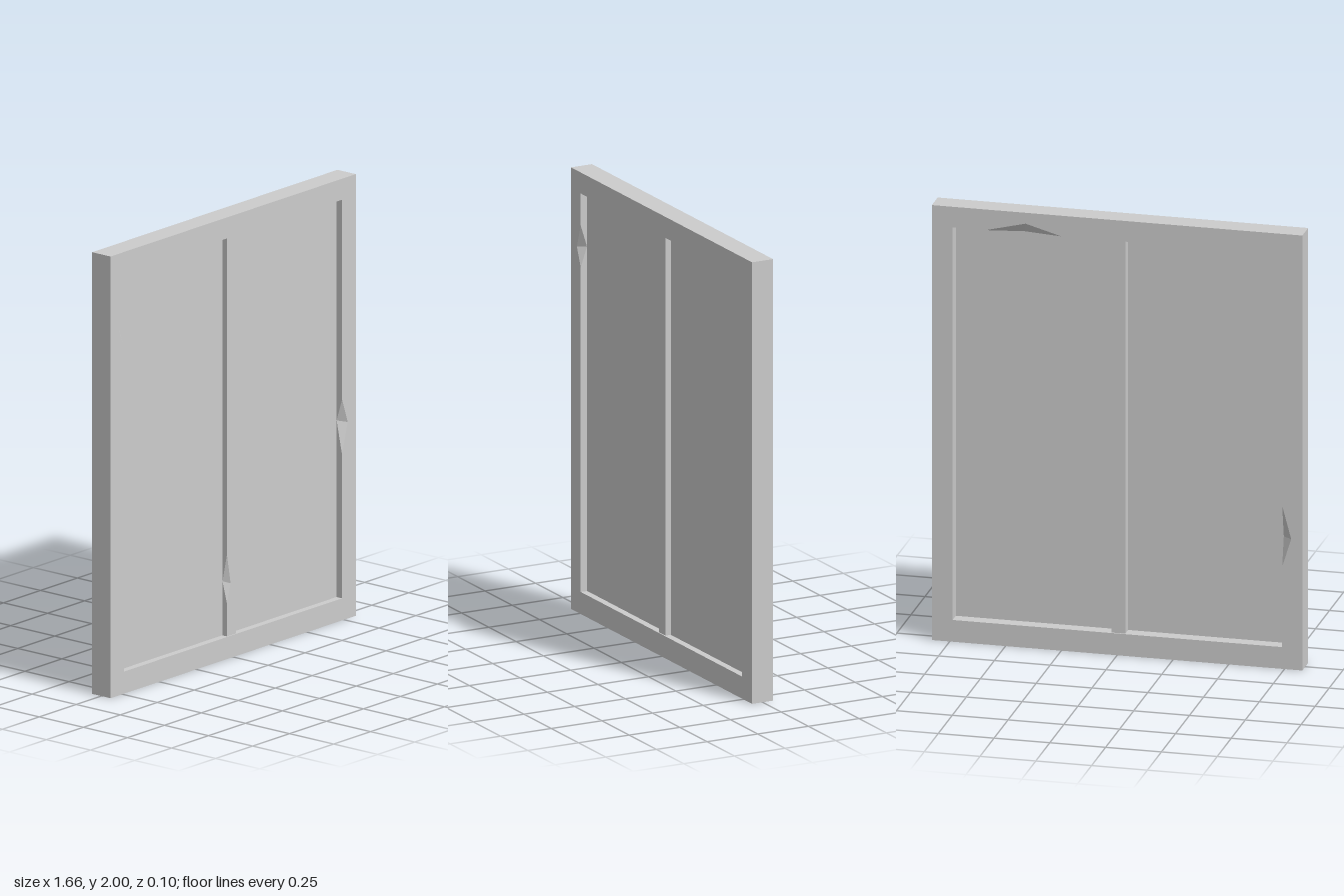
import * as THREE from 'three';

const material = new THREE.MeshStandardMaterial({ color: 0xcccccc, flatShading: true });

// A slab with chipped edges: outer runs counter-clockwise, holes clockwise.
// A point [x, y, dx, dy] is a chip: its face corner is (x, y), its inner corner (dx, dy).
function chippedSlab(outer, holes, zFace, zInner) {
  const all = [outer, ...holes].flat();
  const v2 = (c) => c.map((p) => new THREE.Vector2(p[0], p[1]));
  const face = (p) => [p[0], p[1], zFace];
  const inner = (p) => [p[2] ?? p[0], p[3] ?? p[1], zInner];
  const pos = [];
  const tri = (a, b, c) => pos.push(...a, ...(zFace > zInner ? [...b, ...c] : [...c, ...b]));

  for (const [a, b, c] of THREE.ShapeUtils.triangulateShape(v2(outer), holes.map(v2))) {
    tri(face(all[a]), face(all[b]), face(all[c]));
  }
  for (const contour of [outer, ...holes]) {
    contour.forEach((p, i) => {
      const q = contour[(i + 1) % contour.length];
      if (p.length > 2) {
        tri(face(p), inner(p), face(q));
        tri(inner(p), inner(q), face(q));
      } else {
        tri(face(p), inner(p), inner(q));
        tri(face(p), inner(q), face(q));
      }
    });
  }
  const geometry = new THREE.BufferGeometry();
  geometry.setAttribute('position', new THREE.Float32BufferAttribute(pos, 3));
  geometry.computeVertexNormals();
  return geometry;
}

function add(parent, name, geometry) {
  const mesh = new THREE.Mesh(geometry, material);
  mesh.name = name;
  parent.add(mesh);
  return mesh;
}

function addBox(parent, name, x0, x1, y0, y1, z0, z1) {
  const mesh = add(parent, name, new THREE.BoxGeometry(x1 - x0, y1 - y0, z1 - z0));
  mesh.position.set((x0 + x1) / 2, (y0 + y1) / 2, (z0 + z1) / 2);
}

export function createModel() {
  const model = new THREE.Group();
  model.name = 'window';

  const W = 0.83, H = 2, Z = 0.052;
  const L = -0.74, R = 0.737, B = 0.1, T = 1.905; // opening
  const zFront = 0.021, zBack = -0.024;           // depth the chips reach
  const outer = [[-W, 0], [W, 0], [W, H], [-W, H]];
  const opening = [[L, B], [L, T], [R, T], [R, B]];

  // Frame: chipped front and back layers around a plain core
  const frame = new THREE.Group();
  frame.name = 'frame';
  model.add(frame);

  const frontOpening = [
    [L, B], [L, 1.57], [-0.775, 1.655, L, 1.66], [L, 1.76], [L, T],
    [R, T], [R, 1.0], [0.775, 0.89, R, 0.9], [R, 0.75], [R, B],
  ];
  const backOpening = [
    [L, B], [L, 0.47], [-0.78, 0.6, L, 0.6], [L, 0.75], [L, T],
    [0.25, T], [0.41, 1.95, 0.42, T], [0.59, T], [R, T], [R, B],
  ];
  add(frame, 'frameFront', chippedSlab(outer, [frontOpening], Z, zFront));
  add(frame, 'frameBack', chippedSlab(outer, [backOpening], -Z, zBack));

  const coreShape = new THREE.Shape(outer.map((p) => new THREE.Vector2(...p)));
  coreShape.holes.push(new THREE.Path(opening.map((p) => new THREE.Vector2(...p))));
  const core = new THREE.ExtrudeGeometry(coreShape, { depth: zFront - zBack, bevelEnabled: false });
  add(frame, 'frameCore', core.translate(0, 0, zBack));

  // Centre bar with one chipped edge
  const bar = new THREE.Group();
  bar.name = 'centreBar';
  model.add(bar);
  const barL = -0.035, barR = 0.026;
  const barOutline = [
    [barL, B], [barR, B], [barR, T], [barL, T],
    [barL, 0.47], [-0.01, 0.335, barL, 0.345], [barL, 0.25],
  ];
  add(bar, 'barFront', chippedSlab(barOutline, [], 0.046, zFront));
  addBox(bar, 'barBack', barL, barR, B, T, -0.045, zFront);

  // Panes on either side of the bar
  addBox(model, 'rightPane', L, barL, B, T, 0.006, 0.02);
  addBox(model, 'leftPane', barR, R, B, T, 0.006, 0.02);

  return model;
}
